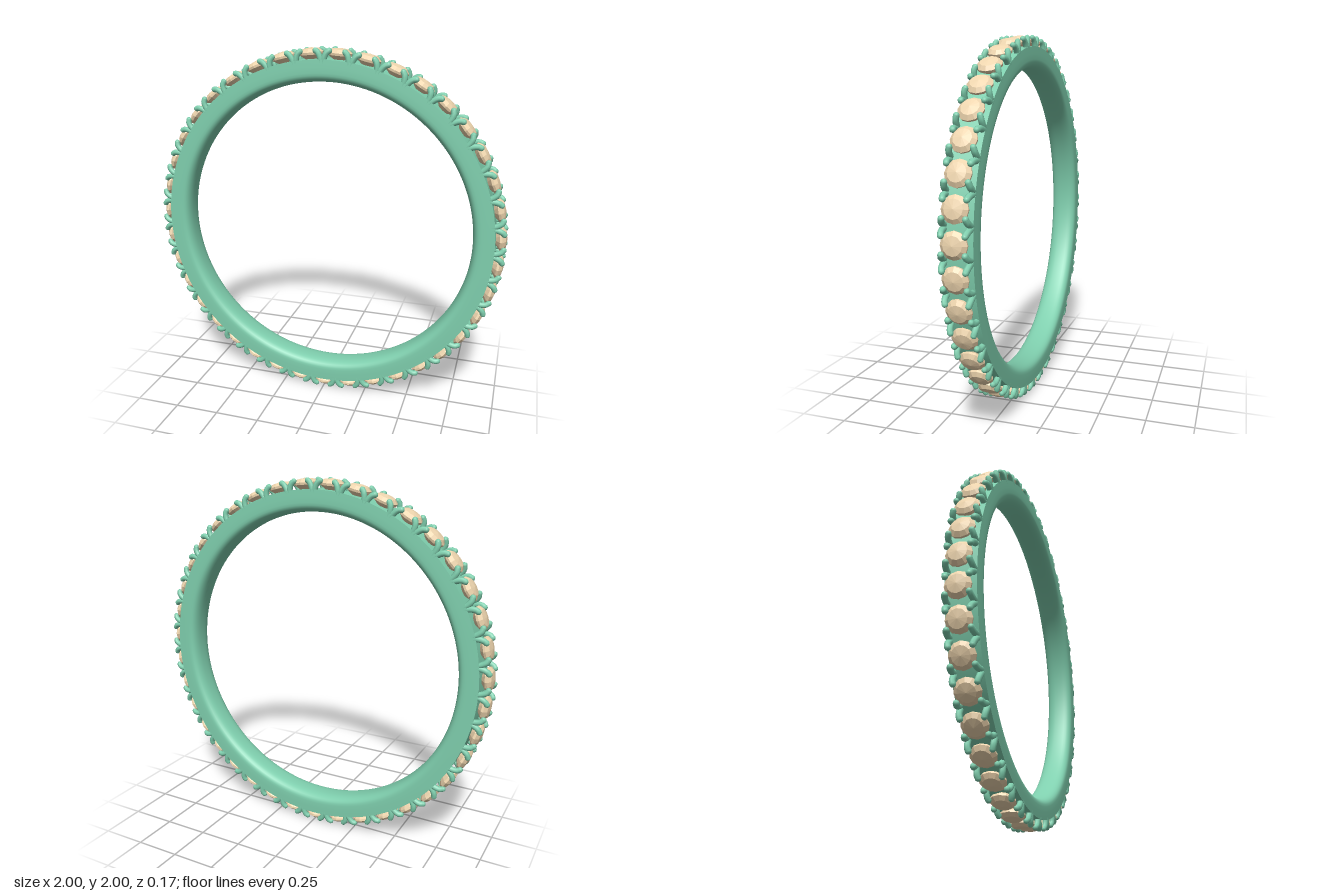
import * as THREE from 'three';
import { mergeGeometries } from 'three/addons/utils/BufferGeometryUtils.js';

const STONES = 39;
const v2 = (x, y) => new THREE.Vector2(x, y);

// Lathe about z from bottom-up (radius, z) points
function ringLathe(points, material, name) {
  const mesh = new THREE.Mesh(new THREE.LatheGeometry(points, 156).rotateX(Math.PI / 2), material);
  mesh.name = name;
  return mesh;
}

// Rounded claw: a bent tube with a ball tip, leaning over the stone
function prongGeometry(sx, sz) {
  const path = new THREE.CatmullRomCurve3([
    [0.069, 0.905, 0.062], [0.065, 0.948, 0.063], [0.054, 0.974, 0.061], [0.042, 0.983, 0.057],
  ].map(([x, y, z]) => new THREE.Vector3(x * sx, y, z * sz)));
  const tube = new THREE.TubeGeometry(path, 6, 0.0155, 8);
  const tip = new THREE.SphereGeometry(0.0155, 8, 6);
  tip.translate(0.042 * sx, 0.983, 0.057 * sz);
  return mergeGeometries([tube, tip]);
}

export function createModel() {
  const metal = new THREE.MeshStandardMaterial({ color: 0x7fcfae });
  const gem = new THREE.MeshStandardMaterial({ color: 0xeed5ae, flatShading: true });

  const model = new THREE.Group();
  model.name = 'ring';
  const body = new THREE.Group();
  body.name = 'ringBody';
  body.position.y = 1;
  body.rotation.x = 0.005;
  model.add(body);

  // Band: rounded inside and flat flanks, closed by the stone bed
  const inner = [v2(0.94, 0.077), v2(0.9, 0.079)];
  for (let i = 0; i <= 16; i++) {
    const a = (i / 16) * Math.PI;
    const c = Math.cos(a);
    inner.push(v2(0.872 - 0.05 * Math.pow(Math.sin(a), 0.8), 0.079 * Math.sign(c) * Math.pow(Math.abs(c), 0.8)));
  }
  inner.push(v2(0.9, -0.079), v2(0.94, -0.077));
  body.add(ringLathe(inner, metal, 'band'));
  body.add(ringLathe([v2(0.94, -0.077), v2(0.94, 0.077)], metal, 'stoneBed'));

  // Faceted stone: pavilion, girdle, crown and slightly domed table
  const stoneGeo = new THREE.LatheGeometry(
    [v2(0, 0.915), v2(0.064, 0.962), v2(0.066, 0.974), v2(0.046, 0.991), v2(0, 0.998)], 12);

  // Four prongs per stone
  const claws = [];
  for (const sx of [-1, 1]) for (const sz of [-1, 1]) claws.push(prongGeometry(sx, sz));
  const prongGeo = mergeGeometries(claws);

  // Settings repeated around the band
  for (let i = 0; i < STONES; i++) {
    const setting = new THREE.Group();
    setting.name = 'setting';
    setting.rotation.z = Math.PI + (i / STONES) * Math.PI * 2;
    const stone = new THREE.Mesh(stoneGeo, gem);
    stone.name = 'stone';
    const prongs = new THREE.Mesh(prongGeo, metal);
    prongs.name = 'prongs';
    setting.add(stone, prongs);
    body.add(setting);
  }
  return model;
}
